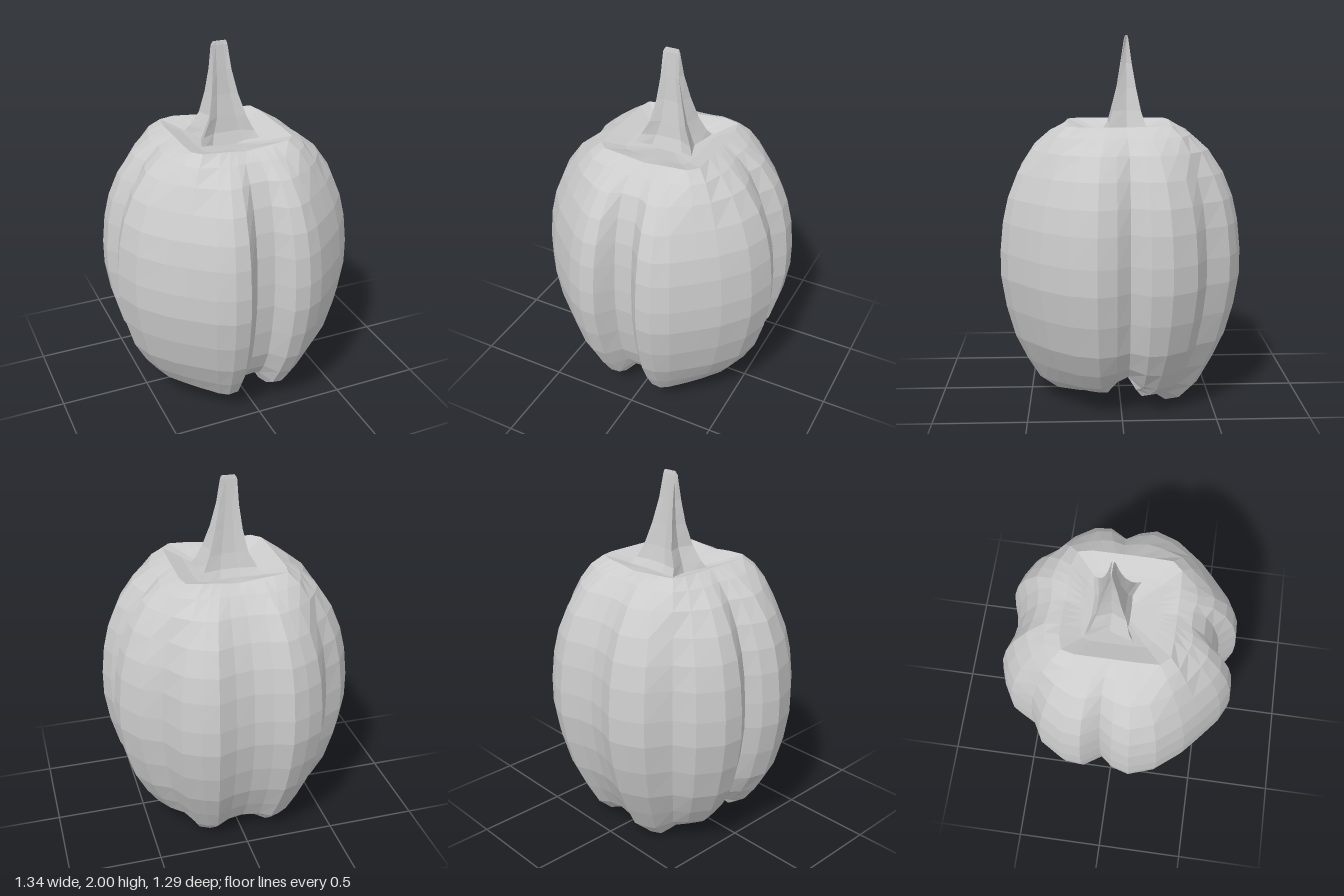
import * as THREE from 'three';

const clamp = THREE.MathUtils.clamp, lerp = THREE.MathUtils.lerp;

// Skins a stack of equal-length closed rings (bottom to top), closing both ends
function loft(rings, name) {
  const n = rings[0].length, pos = rings.flat(2), index = [];
  for (let i = 0; i < rings.length - 1; i++)
    for (let j = 0; j < n; j++) {
      const a = i * n + j, b = i * n + (j + 1) % n;
      index.push(a, a + n, b, b, a + n, b + n);
    }
  const last = (rings.length - 1) * n;
  for (let j = 1; j < n - 1; j++) {
    index.push(0, j, j + 1);
    index.push(last, last + j + 1, last + j);
  }
  const geo = new THREE.BufferGeometry();
  geo.setAttribute('position', new THREE.Float32BufferAttribute(pos, 3));
  geo.setIndex(index);
  geo.computeVertexNormals();
  const mesh = new THREE.Mesh(geo, new THREE.MeshStandardMaterial({
    color: 0xcccccc, flatShading: true, side: THREE.DoubleSide }));
  mesh.name = name;
  return mesh;
}

// Half of the lobed outline, back to front: x, z, lift of the underside,
// and how far a groove swells out away from the widest level
const half = [
  [0, -0.6, 0.05, 0], [0.1, -0.615, 0.04, 0], [0.2, -0.65, 0.015, 0], [0.29, -0.62, 0, 0],
  [0.38, -0.57, 0, 0], [0.45, -0.44, 0.05, 0.08], [0.56, -0.38, 0.07, 0], [0.64, -0.25, 0.08, 0],
  [0.65, -0.14, 0.12, 0], [0.58, -0.04, 0.19, 0.03], [0.64, 0.03, 0.16, 0], [0.67, 0.13, 0.11, 0],
  [0.62, 0.28, 0.1, 0], [0.51, 0.42, 0.09, 0], [0.42, 0.5, 0.07, 0], [0.3, 0.6, 0.05, 0],
  [0.21, 0.645, 0.05, 0], [0.125, 0.645, 0.06, 0], [0.05, 0.55, 0.15, 0.1], [0, 0.55, 0.16, 0.1],
];
const outline = [...half, ...half.slice(1, -1).reverse().map(([x, ...rest]) => [-x, ...rest])];

// Levels: scale, height, how square the ring becomes near the crown
const levels = [
  [0.04, 0.22, 0], [0.22, 0.15, 0], [0.34, 0.05, 0], [0.44, 0, 0], [0.57, 0.02, 0],
  [0.69, 0.1, 0], [0.79, 0.23, 0], [0.89, 0.38, 0], [0.96, 0.55, 0], [1, 0.72, 0],
  [1, 0.86, 0], [0.975, 1.02, 0], [0.93, 1.15, 0], [0.85, 1.28, 0], [0.73, 1.4, 0.15],
  [0.59, 1.48, 0.5], [0.45, 1.53, 1], [0.3, 1.49, 1], [0.05, 1.45, 1],
];

function bodyRing([s, y, square]) {
  // Narrow grooves keep more of their width than the lobes
  const shrink = v => v * Math.pow(s, Math.min(1, Math.abs(v) / 0.3 + Math.max(0, 0.6 - s) * 1.5));
  // The underside stays wider from side to side
  const widen = y < 0.5 ? Math.pow(s, -clamp((0.69 - s) * 1.2, 0, 0.3)) : 1;
  const swell = clamp((1 - s) * 3, 0, 1) * (y > 0.8 ? 1 : 0.3);
  return outline.map(([x0, z0, lift, gain]) => {
    const x = x0 * (1 + gain * swell), z = z0 * (1 + gain * swell);
    const k = s * 0.64 / Math.pow(Math.pow(Math.abs(x), 10) + Math.pow(Math.abs(z), 10), 0.1);
    // Grooves and the middle of the underside rise above the lobes
    const low = y < 0.5 ? clamp((0.85 - s) / 0.28, 0, 1) * Math.min(1, s / 0.4) : 0;
    const sag = square === 1 && s > 0.4 ? -0.02 * (1 - Math.min(1, Math.abs(x) / 0.4)) : 0;
    return [lerp(shrink(x) * widen, x * k, square), y + lift * low + sag, lerp(shrink(z), z * k, square)];
  });
}

// Stem levels: height, centre x, half width, back z, front z
const stemLevels = [
  [1.44, 0, 0.19, -0.2, 0.11], [1.52, 0, 0.145, -0.14, 0.06], [1.6, 0.003, 0.105, -0.115, 0.04],
  [1.72, -0.003, 0.075, -0.09, 0.01], [1.85, -0.01, 0.053, -0.068, -0.01],
  [1.98, -0.015, 0.043, -0.05, -0.03], [2, -0.012, 0.036, -0.045, -0.037],
];

// Star-like stem section with pinched sides
const section = [[-0.35, -0.8], [0.35, -0.8], [1, -1], [0.7, 0], [1, 1],
  [0.5, 0.65], [-0.5, 0.65], [-1, 1], [-0.7, 0], [-1, -1]];

function stemRing([y, cx, w, back, front]) {
  const cz = (back + front) / 2, d = (front - back) / 2;
  return section.map(([u, v]) => [cx + u * w, y, cz + v * d]);
}

export function createModel() {
  const group = new THREE.Group();
  group.name = 'pumpkin';
  group.add(loft(levels.map(bodyRing), 'body'));
  group.add(loft(stemLevels.map(stemRing), 'stem'));
  return group;
}
